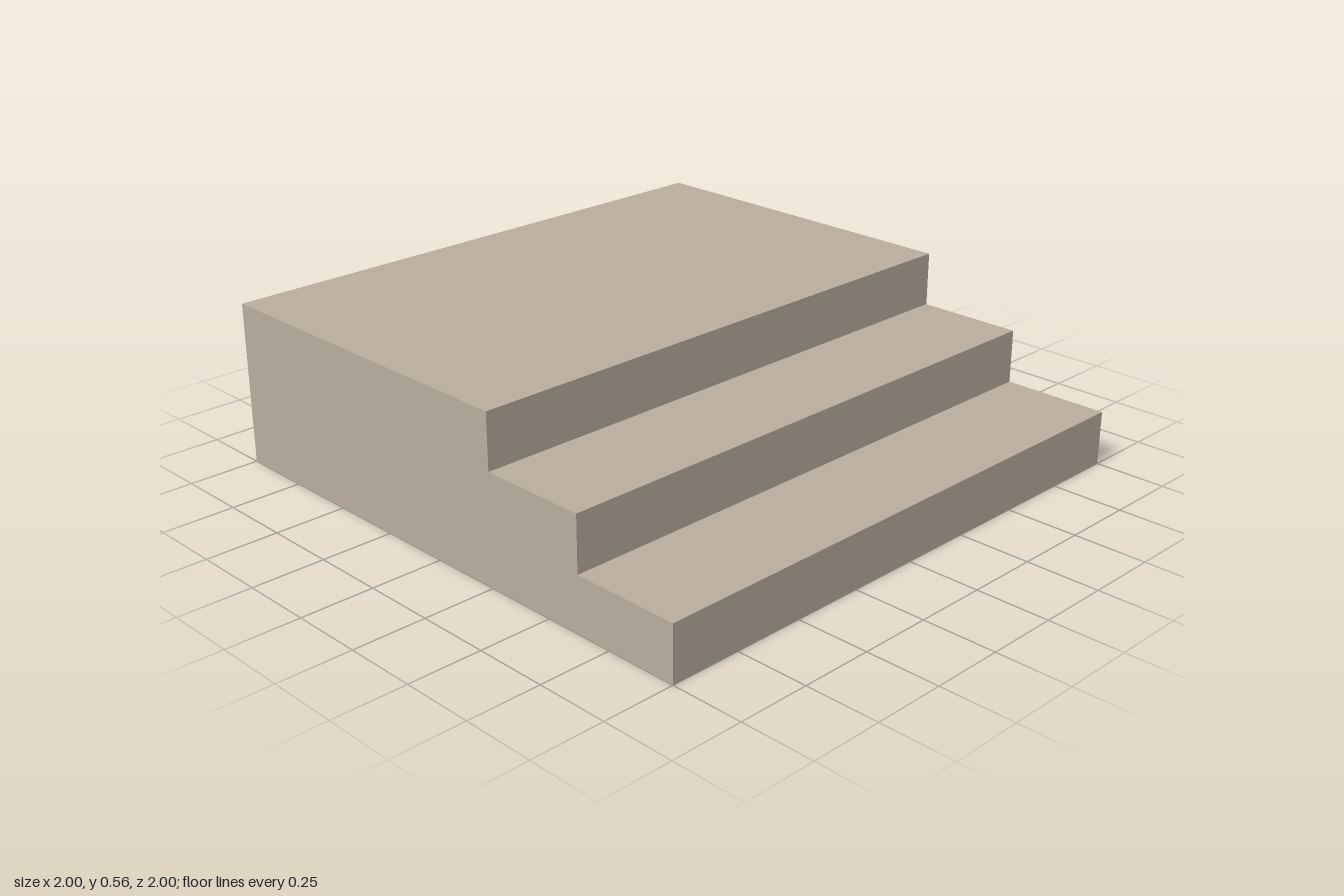
import * as THREE from 'three';

export function createModel() {
  const model = new THREE.Group();
  model.name = 'steppedPlatform';

  const stone = new THREE.MeshStandardMaterial({ color: 0xb8ad9e });
  stone.name = 'warm grey stone';

  const steps = 3, rise = 0.188, tread = 0.375;

  // Side profile: shape x runs towards the back, y is up
  const profile = new THREE.Shape();
  profile.moveTo(1, 0);
  profile.lineTo(1, steps * rise);
  for (let i = steps - 1; i >= 0; i--) {
    const z = -1 + i * tread;
    profile.lineTo(z, (i + 1) * rise);
    profile.lineTo(z, i * rise);
  }
  profile.closePath();

  // Sweep the profile across the full width
  const geometry = new THREE.ExtrudeGeometry(profile, { depth: 2, bevelEnabled: false });
  geometry.translate(0, 0, -1);
  geometry.rotateY(Math.PI / 2);

  const stairs = new THREE.Mesh(geometry, stone);
  stairs.name = 'stairsAndLanding';
  model.add(stairs);
  return model;
}
